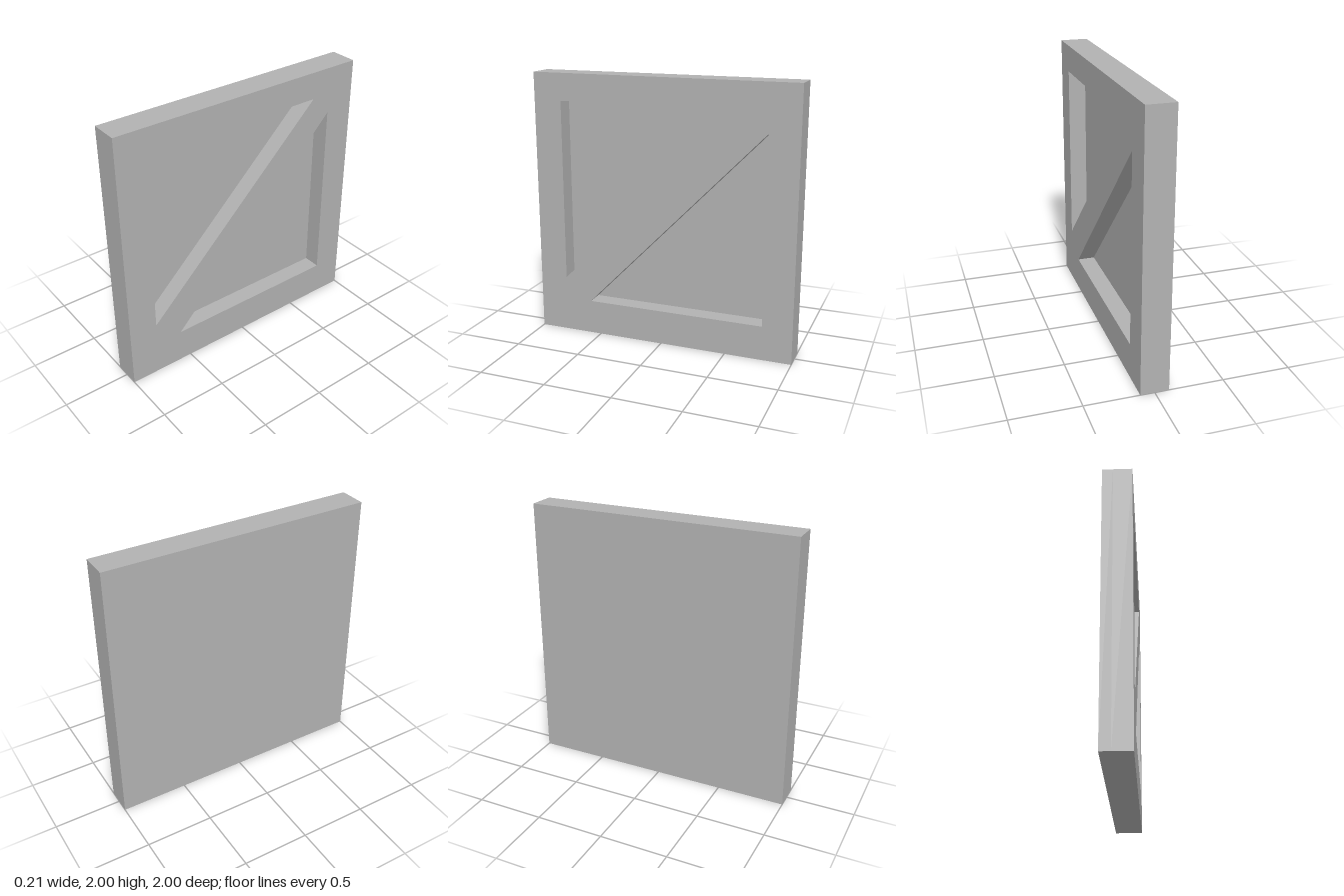
import * as THREE from 'three';

const THICKNESS = 0.206;
const RECESS = 0.132;

export function createModel() {
  const group = new THREE.Group();
  const grey = new THREE.MeshStandardMaterial({ color: 0xb2b2b2 });
  grey.name = 'plain grey';

  // Profiles are drawn as (-z, y), then turned so the thickness runs along x
  const corners = (pts) => pts.map(([u, y]) => new THREE.Vector2(u, y));

  // Square frame with a diagonal brace left between two triangular openings
  const outline = new THREE.Shape(corners([[-1, 0], [1, 0], [1, 2], [-1, 2]]));
  outline.holes.push(
    new THREE.Path(corners([[-0.785, 0.43], [-0.785, 1.797], [0.63, 1.797]])),
    new THREE.Path(corners([[-0.58, 0.26], [0.776, 1.65], [0.776, 0.26]])),
  );
  const frameGeometry = new THREE.ExtrudeGeometry(outline, { depth: RECESS, bevelEnabled: false });
  frameGeometry.rotateY(Math.PI / 2);
  const frame = new THREE.Mesh(frameGeometry, grey);
  frame.name = 'bracedFrame';
  frame.position.x = THICKNESS / 2 - RECESS;
  group.add(frame);

  // Solid panel closing the back of the openings
  const backing = THICKNESS - RECESS;
  const panel = new THREE.Mesh(new THREE.BoxGeometry(backing, 2, 2), grey);
  panel.name = 'backPanel';
  panel.position.set(-THICKNESS / 2 + backing / 2, 1, 0);
  group.add(panel);

  return group;
}
